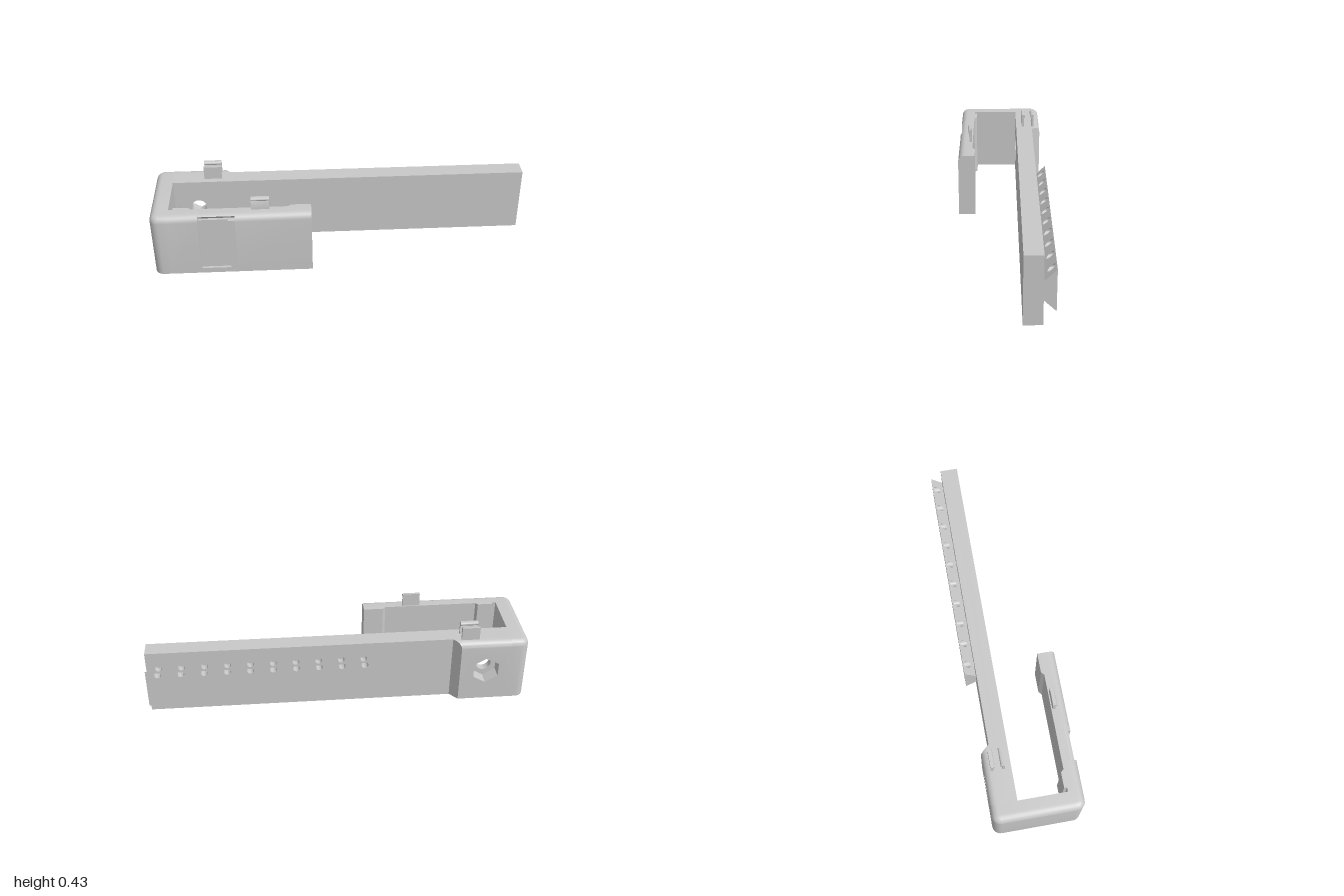
import * as THREE from 'three';
import { toCreasedNormals } from 'three/addons/utils/BufferGeometryUtils.js';

const H = 0.357, FILLET = 0.035, CORNER = 0.045;
const BACK = -0.23, FRONT = 0.242, STEPS = 6;
const WALL = -0.905; // inner face of the end wall

export function createModel() {
  const model = new THREE.Group();
  const grey = new THREE.MeshStandardMaterial({ color: 0xc8c8c8 });
  grey.name = 'light grey plastic';

  const add = (name, geo) => {
    const mesh = new THREE.Mesh(toCreasedNormals(geo, 0.5), grey);
    mesh.name = name;
    model.add(mesh);
  };
  const shapeOf = (pts, holes = []) => {
    const s = new THREE.Shape(pts.map(p => new THREE.Vector2(...p)));
    s.holes.push(...holes);
    return s;
  };
  const extrude = (shape, depth, steps = 1) =>
    new THREE.ExtrudeGeometry(shape, { depth, steps, bevelEnabled: false, curveSegments: 20 });
  const rect = (x0, x1, y0, y1) => [[x0, y0], [x1, y0], [x1, y1], [x0, y1]];
  const arc = (cx, cy, r, a0, a1, n = STEPS) => Array.from({ length: n + 1 }, (_, i) => {
    const a = a0 + (a1 - a0) * i / n;
    return [cx + r * Math.cos(a), cy + r * Math.sin(a)];
  });
  const moveVertices = (geo, rule) => {
    const p = geo.attributes.position;
    for (let i = 0; i < p.count; i++) p.setXYZ(i, ...rule(p.getX(i), p.getY(i), p.getZ(i)));
    return geo;
  };

  // Extrusions: x takes [z, y] points, y takes [x, z] points, z takes [x, y] points
  const alongX = (pts, x0, x1) => extrude(shapeOf(pts.map(([z, y]) => [-z, y])), x1 - x0)
    .rotateY(Math.PI / 2).translate(x0, 0, 0);
  const alongY = (pts, y0, y1, steps = 1) => extrude(shapeOf(pts.map(([x, z]) => [x, -z])), y1 - y0, steps)
    .rotateX(-Math.PI / 2).translate(0, y0, 0);
  const alongZ = (pts, holes, z0, z1) => extrude(shapeOf(pts, holes), z1 - z0).translate(0, 0, z0);
  const circle = (x, y, r) => new THREE.Path().absarc(x, y, r, 0, Math.PI * 2, true);
  const pathOf = pts => new THREE.Path(pts.map(p => new THREE.Vector2(...p)));

  // Upright block whose outer top edge is filleted towards the inner core
  const filletedPlan = pts => moveVertices(alongY(pts, 0, 1, STEPS + 1), (x, y, z) => {
    const k = Math.round(y * (STEPS + 1));
    if (k === 0) return [x, 0, z];
    const a = (k - 1) / STEPS * Math.PI / 2;
    const scale = 1 - FILLET * (1 - Math.cos(a)) / CORNER;
    const cx = Math.max(x, -1 + CORNER);
    const cz = THREE.MathUtils.clamp(z, BACK + CORNER, FRONT - CORNER);
    return [cx + (x - cx) * scale, H - FILLET + FILLET * Math.sin(a), cz + (z - cz) * scale];
  });

  // End wall with rounded corners
  add('endWall', filletedPlan([
    [WALL, FRONT],
    ...arc(-1 + CORNER, FRONT - CORNER, CORNER, Math.PI / 2, Math.PI),
    ...arc(-1 + CORNER, BACK + CORNER, CORNER, Math.PI, Math.PI * 1.5),
    [WALL, BACK]]));

  // Chamfer from the thick part to the bar; its slanted face stays upright under the fillet
  const chamfer = filletedPlan([[-0.64, BACK], [-0.639, BACK], [-0.6, -0.183], [-0.64, -0.183]]);
  add('thickPartChamfer', moveVertices(chamfer, (x, y, z) =>
    [x > -0.6395 ? -0.6 + (z + 0.183) * 0.85 : x, y, z]));

  // Thick back block: hexagonal nut pocket, bolt hole and teardrop recess
  const bx = -0.78, by = 0.18;
  const block = rect(WALL, -0.64, 0, H);
  const hex = pathOf(arc(bx, by, 0.076, Math.PI / 2, Math.PI * 2.5, 6).slice(0, 6));
  const nutLayer = extrude(shapeOf(block, [hex]), 1, STEPS + 1);
  add('nutPocket', moveVertices(nutLayer, (x, y, z) => {
    const k = Math.round(z * (STEPS + 1));
    if (k > STEPS) return [x, y, -0.16];
    const a = k / STEPS * Math.PI / 2;
    return [x, y > 0.35 ? H - FILLET + FILLET * Math.sin(a) : y, BACK + FILLET * (1 - Math.cos(a))];
  }));
  add('boltHoleLayer', alongZ(block, [circle(bx, by, 0.04)], -0.16, -0.12));
  const drop = pathOf([...arc(bx, by, 0.106, Math.PI * 0.75, Math.PI * 2.25, 24), [bx, by + 0.15]]);
  add('teardropRecess', alongZ(block, [drop], -0.12, -0.09));

  // Long bar, with a drilled back layer
  const holes = y => Array.from({ length: 10 }, (_, i) => circle(-0.13 + 0.1187 * i, y, 0.018));
  add('barFront', alongZ(rect(-0.64, 1, 0, H), [], -0.15, -0.09));
  add('barBack', alongZ(rect(-0.64, 1, 0, H), holes(0.263), -0.183, -0.15));

  // Dovetail rail: solid lower prism and a drilled upper wedge
  add('railLower', alongX([[-0.242, 0.073], [-0.183, 0.13], [-0.183, 0.228], [-0.242, 0.228]], -0.19, 1));
  add('railUpper', moveVertices(
    extrude(shapeOf(rect(-0.19, 1, 0.228, 0.287), holes(0.263)), 1),
    (x, y, z) => [x, y, z < 0.5 ? -0.242 : 0.045 - y]));

  // Front arm in segments, with a shallow panel recess and a slot with a sloping ceiling
  const zIn = 0.165;
  const roundTop = from => arc(FRONT - FILLET, H - FILLET, FILLET, from, Math.PI / 2);
  const full = [[zIn, 0], [FRONT, 0], ...roundTop(0), [zIn, H]];
  const slotTop = [[0.212, 0.33], ...roundTop(0.9), [zIn, H]];
  const slotted = [[zIn, 0], [FRONT, 0], [FRONT, 0.33], ...slotTop];
  const recessed = [[zIn, 0], [FRONT, 0], [FRONT, 0.03], [0.228, 0.03], [0.228, 0.33], ...slotTop];
  add('frontArmCorner', alongX(full, WALL, -0.752));
  add('frontArmRecess', alongX(recessed, -0.752, -0.597));
  add('frontArmSlot', alongX(slotted, -0.597, -0.562));
  add('frontArm', alongX(full, -0.562, -0.167));

  // Raised pads inside the arm
  add('innerPad', alongY([[-0.883, 0.17], [-0.883, 0.15], [-0.803, 0.15], [-0.788, 0.17]], 0, H));
  add('innerEndPad', alongY([[-0.292, 0.17], [-0.272, 0.15], [-0.167, 0.15], [-0.167, 0.17]], 0, H));

  // Snap clips: a thin stem with a rounded lip on one side
  const clip = (name, x0, z, dir) => add(name, alongX([
    [z, H - 0.01], [z, 0.429],
    ...arc(z + dir * 0.012, 0.419, 0.01, Math.PI / 2, Math.PI / 2 - dir * Math.PI, 8),
    [z + dir * 0.014, 0.405], [z + dir * 0.014, H - 0.01]], x0, x0 + 0.094));
  clip('backClipInner', -0.737, -0.122, -1);
  clip('backClipOuter', -0.737, -0.195, 1);
  clip('frontClip', -0.477, 0.171, 1);

  return model;
}
